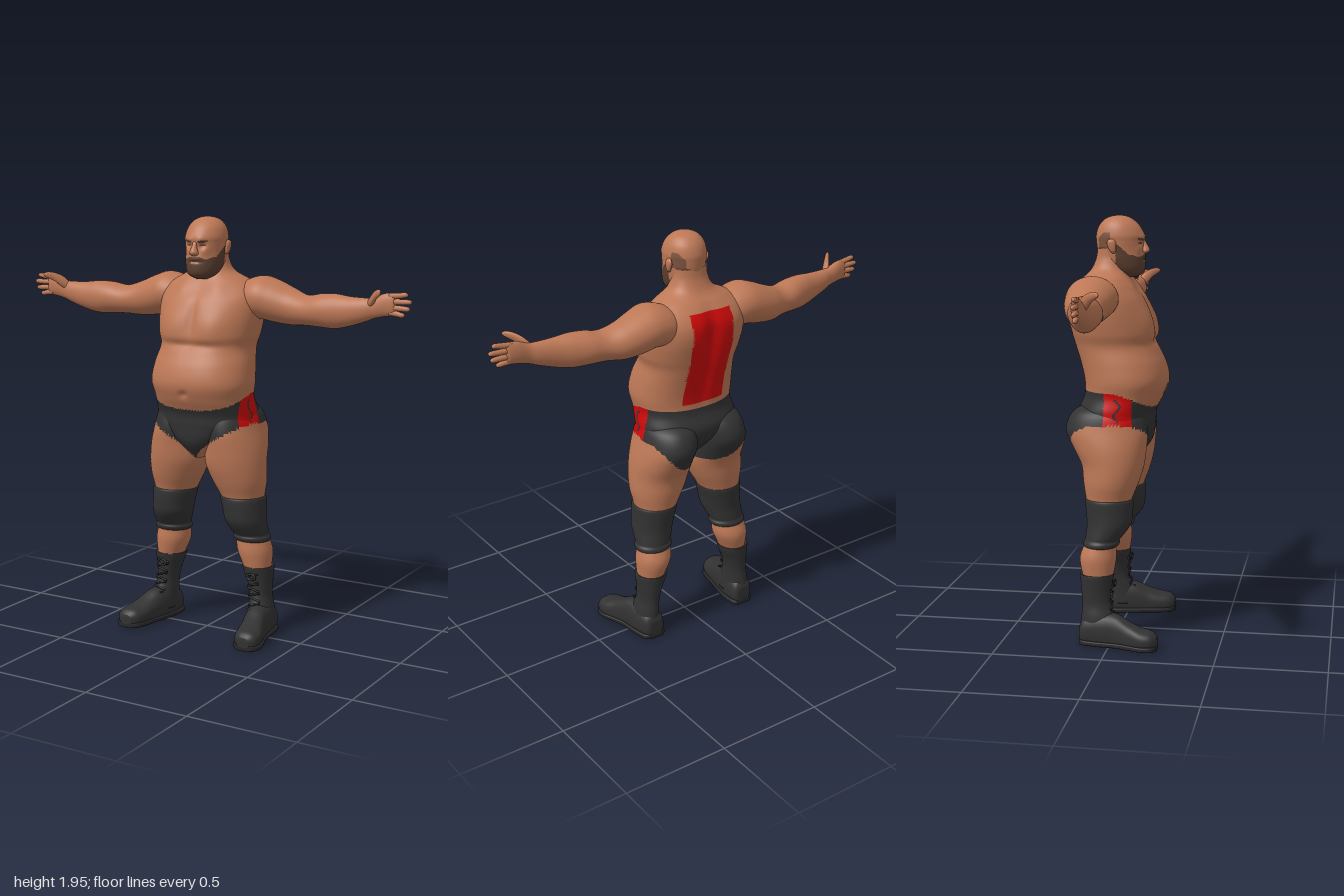
import * as THREE from 'three';

const mat = (name, color) => {
  const m = new THREE.MeshStandardMaterial({ color });
  m.name = name;
  return m;
};

// Scalar Catmull-Rom through one column of the section list
function spline(list, k, t) {
  const n = list.length - 1, i = Math.min(Math.floor(t), n - 1), f = t - i;
  const g = (j) => list[Math.max(0, Math.min(n, j))][k];
  const a = g(i - 1), b = g(i), c = g(i + 1), d = g(i + 2);
  return b + 0.5 * f * (c - a + f * (2 * a - 5 * b + 4 * c - d + f * (3 * (b - c) + d - a)));
}

const AXES = { x: ['y', 'z'], y: ['x', 'z'], z: ['x', 'y'] };

// Smooth closed skin over sections [x, y, z, radiusU, radiusV] stacked along an axis.
// shape(p) moves a vertex; paint(p) picks the material index of a face.
function loft(name, sections, mats, { axis = 'y', segs = 48, sub = 6, pow = 2, shape, paint } = {}) {
  const [u, v] = AXES[axis], rows = (sections.length - 1) * sub, pts = [];
  const add = (p) => { if (shape) shape(p); pts.push(p); };
  for (let i = 0; i <= rows; i++) {
    const s = [0, 1, 2, 3, 4].map((k) => spline(sections, k, i / sub));
    for (let j = 0; j < segs; j++) {
      const a = (j / segs) * Math.PI * 2, c = Math.cos(a), d = Math.sin(a);
      const p = new THREE.Vector3(s[0], s[1], s[2]);
      p[u] += Math.max(s[3], 0.001) * Math.sign(c) * Math.abs(c) ** (2 / pow);
      p[v] += Math.max(s[4], 0.001) * Math.sign(d) * Math.abs(d) ** (2 / pow);
      add(p);
    }
  }
  for (const s of [sections[0], sections[sections.length - 1]]) add(new THREE.Vector3(s[0], s[1], s[2]));
  const rising = sections[sections.length - 1]['xyz'.indexOf(axis)] > sections[0]['xyz'.indexOf(axis)];
  const flip = (axis === 'y') === rising;
  const faces = mats.map(() => []), mid = new THREE.Vector3();
  const tri = (a, b, c) => {
    mid.copy(pts[a]).add(pts[b]).add(pts[c]).divideScalar(3);
    faces[paint ? paint(mid) : 0].push(a, ...(flip ? [c, b] : [b, c]));
  };
  const end = (rows + 1) * segs;
  for (let j = 0; j < segs; j++) {
    const k = (j + 1) % segs;
    for (let i = 0; i < rows; i++) {
      const a = i * segs + j, b = i * segs + k;
      tri(a, b, a + segs);
      tri(b, b + segs, a + segs);
    }
    tri(end, k, j);
    tri(end + 1, rows * segs + j, rows * segs + k);
  }
  const geo = new THREE.BufferGeometry().setFromPoints(pts);
  geo.setIndex(faces.flat());
  let start = 0;
  faces.forEach((f, i) => { if (f.length) geo.addGroup(start, f.length, i); start += f.length; });
  geo.computeVertexNormals();
  const mesh = new THREE.Mesh(geo, mats.length > 1 ? mats : mats[0]);
  mesh.name = name;
  return mesh;
}

// Copy of a mesh reflected across x = 0
function mirrored(mesh) {
  const geo = mesh.geometry.clone().scale(-1, 1, 1), ix = geo.index.array;
  for (let i = 0; i < ix.length; i += 3) [ix[i], ix[i + 1]] = [ix[i + 1], ix[i]];
  geo.computeVertexNormals();
  const m = new THREE.Mesh(geo, mesh.material);
  m.name = mesh.name.replace('left', 'right');
  return m;
}

// Section from x, y, half width, front z and back z
const sec = (x, y, w, f, b) => [x, y, (f + b) / 2, w, (f - b) / 2];
const clamp = (t) => Math.max(0, Math.min(1, t));
const blob = (p, x, y, z, r) => Math.exp(-((Math.abs(p.x) - x) ** 2 + (p.y - y) ** 2 + (p.z - z) ** 2) / (r * r));

export function createModel() {
  const g = new THREE.Group();
  g.name = 'wrestler';
  const skin = mat('skin', 0xbd7856), black = mat('charcoal cloth', 0x323232), red = mat('red', 0xcc0808);
  const beard = mat('beard', 0x5c3f30), stubble = mat('stubble', 0x7d5440), dark = mat('sole black', 0x282828);
  const pair = (m) => g.add(m, mirrored(m));

  // Trunks with red side panels, and the red back panel
  const bodyPaint = (p) => {
    const ax = Math.abs(p.x), k = clamp(ax / 0.25);
    const top = 1.155 - 0.075 * clamp(p.z / 0.18) ** 1.5;
    const back = clamp((0.03 - p.z) / 0.12);
    const low = (1 - back) * (0.84 + 0.175 * k ** 0.7) + back * (0.86 + 0.15 * k ** 3);
    if (p.y < top && p.y > low) {
      const panel = ax > 0.17 && p.z < 0.09 && p.z > -0.035 && p.y > 1.0;
      const mark = Math.abs(p.z - 0.025 - 0.012 * Math.sin(p.y * 70)) < 0.006 && p.y > 1.03 && p.y < 1.13;
      return panel && !mark ? 2 : 1;
    }
    return p.z < -0.08 && ax < 0.108 && p.y > 1.18 && p.y < 1.63 ? 2 : 0;
  };
  const bodyMats = [skin, black, red];

  // Torso and neck
  g.add(loft('torso', [
    sec(0, 0.845, 0.03, 0.1, 0), sec(0, 0.92, 0.12, 0.155, -0.1), sec(0, 1.0, 0.232, 0.166, -0.17),
    sec(0, 1.06, 0.245, 0.172, -0.185), sec(0, 1.13, 0.236, 0.208, -0.158), sec(0, 1.2, 0.246, 0.23, -0.157),
    sec(0, 1.28, 0.238, 0.213, -0.175), sec(0, 1.36, 0.225, 0.172, -0.2), sec(0, 1.42, 0.24, 0.165, -0.215),
    sec(0, 1.5, 0.25, 0.148, -0.228), sec(0, 1.57, 0.25, 0.12, -0.228), sec(0, 1.62, 0.235, 0.08, -0.205),
    sec(0, 1.66, 0.185, 0.055, -0.172), sec(0, 1.7, 0.11, 0.04, -0.132), sec(0, 1.75, 0.084, 0.03, -0.108),
    sec(0, 1.8, 0.08, 0.02, -0.1)
  ], bodyMats, {
    segs: 120, sub: 8, pow: 2.25, paint: bodyPaint,
    shape: (p) => {
      const y = p.y;
      if (p.z > 0) {
        p.z += 0.018 * blob(p, 0.11, 1.45, 0.14, 0.085) - 0.012 * Math.exp(-((p.x / 0.02) ** 2) - ((y - 1.5) / 0.09) ** 2);
        p.z -= 0.014 * blob(p, 0, 1.155, 0.222, 0.016);
        p.z -= 0.01 * Math.exp(-(((y - 1.375) / 0.018) ** 2)) * clamp(1.4 - Math.abs(p.x) / 0.15);
        p.z += 0.012 * blob(p, 0.09, 1.625, 0.06, 0.05);
      } else {
        p.z += 0.028 * Math.exp(-((p.x / 0.035) ** 2) - ((y - 1.42) / 0.2) ** 4);
        p.z -= 0.012 * blob(p, 0.15, 1.52, -0.18, 0.09);
      }
    }
  }));

  // Legs, with the buttocks as the rounded tops
  pair(loft('left leg', [
    sec(0.11, 1.1, 0.07, 0.08, -0.12), sec(0.125, 1.06, 0.115, 0.13, -0.195), sec(0.138, 0.98, 0.128, 0.152, -0.226),
    sec(0.147, 0.9, 0.139, 0.148, -0.19), sec(0.152, 0.82, 0.142, 0.138, -0.15), sec(0.168, 0.74, 0.128, 0.115, -0.138),
    sec(0.183, 0.66, 0.1, 0.085, -0.124), sec(0.197, 0.58, 0.088, 0.075, -0.112), sec(0.211, 0.5, 0.08, 0.04, -0.115),
    sec(0.217, 0.46, 0.079, 0.02, -0.125), sec(0.225, 0.4, 0.084, 0.022, -0.146), sec(0.238, 0.33, 0.067, 0.012, -0.134),
    sec(0.25, 0.26, 0.05, 0, -0.11)
  ], bodyMats, { segs: 72, paint: bodyPaint }));

  // Knee pads with rolled lower rims
  pair(loft('left knee pad', [
    sec(0.184, 0.668, 0.096, 0.082, -0.12), sec(0.185, 0.66, 0.106, 0.093, -0.128), sec(0.193, 0.6, 0.1, 0.092, -0.122),
    sec(0.2, 0.55, 0.096, 0.084, -0.118), sec(0.21, 0.5, 0.088, 0.05, -0.122), sec(0.214, 0.482, 0.084, 0.034, -0.124),
    sec(0.215, 0.47, 0.09, 0.036, -0.13), sec(0.217, 0.456, 0.088, 0.03, -0.13), sec(0.218, 0.448, 0.076, 0.015, -0.118)
  ], [black]));

  // Boots: shaft, foot, sole and laces
  pair(loft('left boot shaft', [
    sec(0.24, 0.322, 0.06, 0, -0.13), sec(0.241, 0.326, 0.074, 0.014, -0.143), sec(0.244, 0.3, 0.071, 0.01, -0.141),
    sec(0.252, 0.25, 0.058, 0.003, -0.135), sec(0.258, 0.19, 0.05, 0.004, -0.129), sec(0.265, 0.13, 0.055, 0.025, -0.133),
    sec(0.268, 0.05, 0.058, 0.05, -0.138)
  ], [black]));
  const foot = [
    [0.262, 0.05, -0.14, 0.035, 0.04], [0.264, 0.06, -0.12, 0.053, 0.065], [0.27, 0.065, -0.05, 0.061, 0.085],
    [0.281, 0.06, 0.03, 0.058, 0.088], [0.298, 0.05, 0.095, 0.061, 0.066], [0.312, 0.045, 0.15, 0.066, 0.05],
    [0.319, 0.042, 0.2, 0.056, 0.042], [0.32, 0.038, 0.225, 0.028, 0.024]
  ];
  pair(loft('left boot foot', foot, [black], { axis: 'z', pow: 2.4, shape: (p) => { p.y = Math.max(p.y, 0.008); } }));
  pair(loft('left boot sole', foot.map(([x, , z, w]) => [x, 0.013, z, w + 0.005, 0.013]), [dark], { axis: 'z', pow: 5 }));
  for (let i = 0; i < 8; i++) {
    const y = 0.13 + i * 0.023, z = i === 0 ? 0.032 : i === 1 ? 0.014 : 0.006, x = 0.264 - i * 0.0026;
    const lace = new THREE.CylinderGeometry(0.0045, 0.0045, 0.06, 8).rotateZ(Math.PI / 2 + (i % 2 ? 0.25 : -0.25)).translate(x, y, z);
    const m = new THREE.Mesh(lace, dark);
    m.name = 'left boot lace';
    pair(m);
  }
  const bow = new THREE.Mesh(new THREE.TorusGeometry(0.014, 0.005, 8, 16).scale(1.5, 1, 1).translate(0.246, 0.285, 0.018), dark);
  bow.name = 'left lace bow';
  pair(bow);

  // Arms, stretched sideways with the palms forward
  pair(loft('left arm', [
    [0.09, 1.565, -0.08, 0.05, 0.07], [0.17, 1.575, -0.085, 0.088, 0.105], [0.25, 1.585, -0.082, 0.099, 0.117],
    [0.32, 1.57, -0.086, 0.096, 0.108], [0.4, 1.55, -0.085, 0.083, 0.092], [0.48, 1.54, -0.066, 0.068, 0.078],
    [0.56, 1.545, -0.055, 0.075, 0.076], [0.63, 1.546, -0.045, 0.077, 0.064], [0.7, 1.55, -0.036, 0.066, 0.05],
    [0.78, 1.562, -0.03, 0.052, 0.037], [0.82, 1.572, -0.028, 0.046, 0.028], [0.87, 1.588, -0.028, 0.05, 0.024],
    [0.91, 1.592, -0.026, 0.048, 0.018], [0.922, 1.593, -0.025, 0.04, 0.01]
  ], [skin], { axis: 'x' }));
  [[1.628, 0.982, 1.636], [1.604, 1.0, 1.606], [1.579, 0.992, 1.576], [1.556, 0.968, 1.549]].forEach(([y, tip, ty]) => {
    pair(loft('left finger', [
      [0.895, y, -0.026, 0.012, 0.013], [(0.9 + tip) / 2, (y + ty) / 2, -0.022, 0.0125, 0.0125],
      [tip - 0.015, ty, -0.02, 0.011, 0.011], [tip - 0.004, ty, -0.02, 0.008, 0.008], [tip, ty, -0.02, 0.002, 0.002]
    ], [skin], { axis: 'x', segs: 14, sub: 4 }));
  });
  pair(loft('left thumb', [
    [0.795, 1.585, -0.025, 0.02, 0.016], [0.825, 1.612, -0.005, 0.026, 0.022], [0.85, 1.634, 0.02, 0.021, 0.017],
    [0.873, 1.645, 0.043, 0.016, 0.014], [0.887, 1.648, 0.056, 0.009, 0.008], [0.891, 1.648, 0.059, 0.002, 0.002]
  ], [skin], { axis: 'x', segs: 18 }));

  // Head with painted beard, brows, eyes and cropped hair behind the ears
  g.add(loft('head', [
    sec(0, 1.668, 0.03, 0.075, 0.01), sec(0, 1.685, 0.062, 0.108, -0.03), sec(0, 1.71, 0.079, 0.118, -0.065),
    sec(0, 1.75, 0.088, 0.117, -0.09), sec(0, 1.79, 0.091, 0.112, -0.102), sec(0, 1.83, 0.094, 0.113, -0.107),
    sec(0, 1.86, 0.095, 0.113, -0.108), sec(0, 1.9, 0.084, 0.092, -0.095), sec(0, 1.93, 0.06, 0.06, -0.068),
    sec(0, 1.944, 0.03, 0.03, -0.035), sec(0, 1.948, 0.004, 0.002, -0.004)
  ], [skin, beard, stubble], {
    segs: 128, sub: 10,
    shape: (p) => {
      if (p.z < 0) return;
      p.z += 0.006 * blob(p, 0.03, 1.843, 0.11, 0.02) - 0.011 * blob(p, 0.035, 1.822, 0.105, 0.016);
      p.z += 0.006 * blob(p, 0.05, 1.795, 0.095, 0.02) + 0.006 * blob(p, 0.012, 1.764, 0.115, 0.018);
      p.z -= 0.008 * Math.exp(-(((p.y - 1.747) / 0.006) ** 2) - (p.x / 0.03) ** 2);
    },
    paint: (p) => {
      const ax = Math.abs(p.x);
      if (ax > 0.04 && p.z < -0.028 && p.z > -0.088 && p.y > 1.8 && p.y < 1.872 - Math.max(0, -0.06 - p.z)) return 2;
      if (p.z > 0.05 && ax > 0.016 && ax < 0.056 && Math.abs(p.y - 1.839 - 0.1 * (ax - 0.035)) < 0.005) return 1;
      if (p.z > 0.05 && ax > 0.022 && ax < 0.048 && Math.abs(p.y - 1.822) < 0.0035) return 1;
      if (p.z > 0.05 && ax < 0.02 && Math.abs(p.y - 1.744) < 0.004) return 0;
      const edge = 1.772 - 0.012 * blob(p, 0.05, p.y, p.z, 0.02) + 0.045 * clamp((0.055 - p.z) / 0.05);
      return p.z > -0.005 + 0.25 * Math.max(0, 1.73 - p.y) && p.y < edge ? 1 : 0;
    }
  }));
  g.add(loft('nose', [
    [0, 1.84, 0.108, 0.01, 0.006], [0, 1.815, 0.115, 0.012, 0.013], [0, 1.795, 0.119, 0.019, 0.02],
    [0, 1.784, 0.118, 0.021, 0.019], [0, 1.775, 0.112, 0.014, 0.01]
  ], [skin], { segs: 24 }));

  // Ears
  pair(loft('left ear', [
    [0.091, 1.778, -0.014, 0.005, 0.007], [0.096, 1.79, -0.016, 0.009, 0.014], [0.098, 1.815, -0.021, 0.011, 0.021],
    [0.099, 1.832, -0.023, 0.009, 0.019], [0.096, 1.843, -0.023, 0.004, 0.009]
  ], [skin], { segs: 20 }));
  return g;
}
